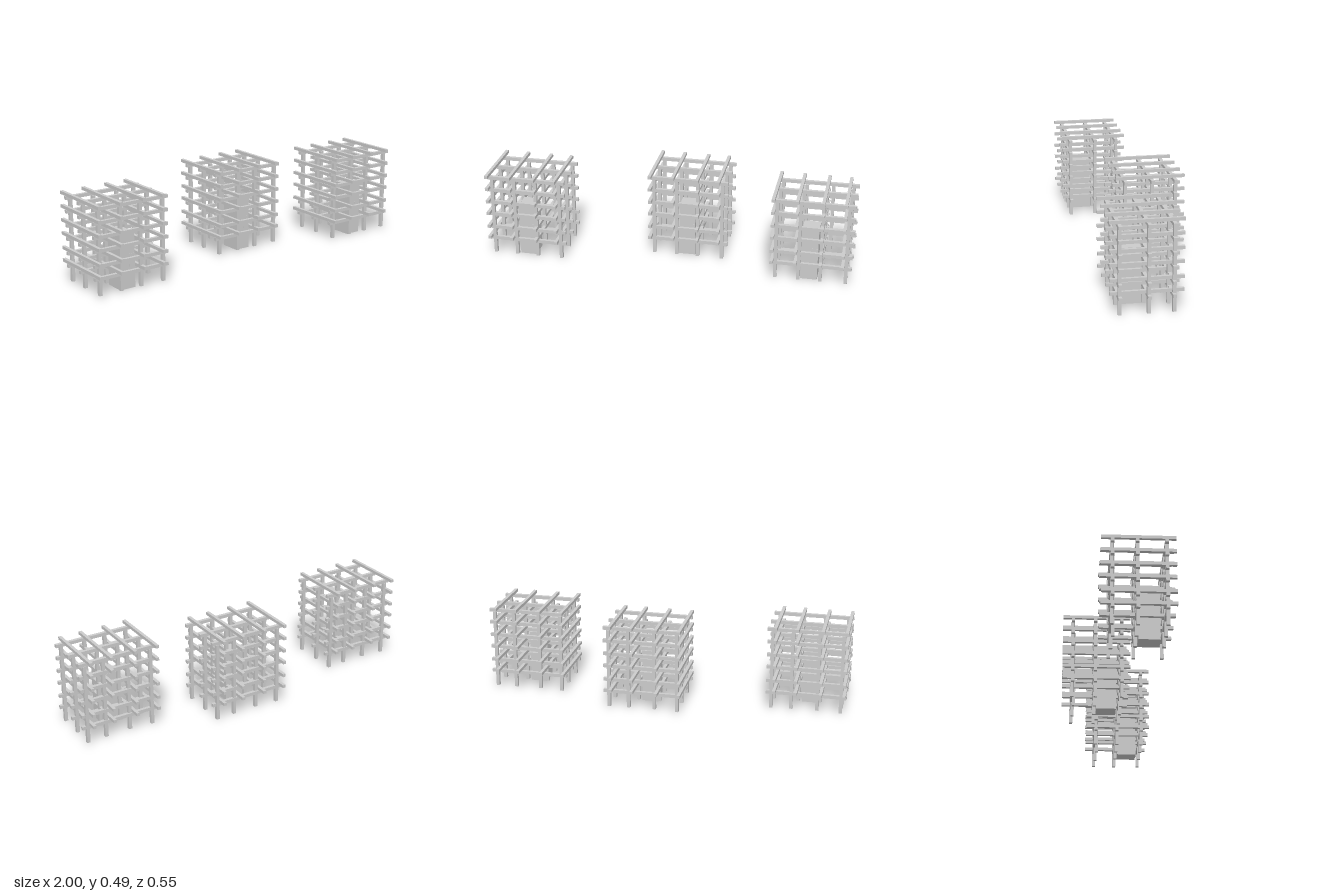
import * as THREE from 'three';

const material = new THREE.MeshStandardMaterial({ color: 0xcccccc, flatShading: true });
const BAR = 0.018;

// Box given by its size and centre
function addBox(parent, name, w, h, d, x, y, z) {
  const mesh = new THREE.Mesh(new THREE.BoxGeometry(w, h, d), material);
  mesh.name = name;
  mesh.position.set(x, y, z);
  parent.add(mesh);
}

// One timber frame with a block standing inside it
function buildTower() {
  const tower = new THREE.Group();
  const seams = [0.47, 0.398, 0.324, 0.2535, 0.175, 0.108]; // where crossing beams touch
  const rowZ = [-0.041, 0.082, 0.226];
  const columnX = [-0.988, -0.862, -0.727, -0.61];

  // Stacked floors: depth beams resting on cross beams
  for (const y of seams) {
    for (const x of columnX) addBox(tower, 'depthBeam', 0.017, 0.017, 0.37, x, y + 0.0085, 0.088);
    for (const z of rowZ) addBox(tower, 'crossBeam', 0.438, BAR, BAR, -0.781, y - 0.009, z);
  }

  // Posts, with the back row set slightly off the beam line
  const post = (x, z) => addBox(tower, 'post', BAR, 0.442, BAR, x, 0.231, z);
  for (const z of rowZ.slice(1)) {
    for (const x of [-0.97, -0.845, -0.727, -0.592]) post(x, z);
  }
  for (const [x, z] of [[-0.97, -0.044], [-0.842, -0.033], [-0.7, -0.038], [-0.592, -0.044]]) post(x, z);

  // Central block with a shallow front panel
  addBox(tower, 'innerBlock', 0.09, 0.295, 0.109, -0.791, 0.1475, 0.1455);
  addBox(tower, 'frontPanel', 0.033, 0.068, 0.002, -0.764, 0.151, 0.2005);
  return tower;
}

export function createModel() {
  const model = new THREE.Group();
  model.name = 'timberTowers';
  const towers = [
    ['rightTower', 0, 0],
    ['middleTower', 0.867, -0.175],
    ['leftTower', 1.562, -0.024],
  ];
  for (const [name, x, z] of towers) {
    const tower = buildTower();
    tower.name = name;
    tower.position.set(x, 0, z);
    model.add(tower);
  }
  return model;
}
